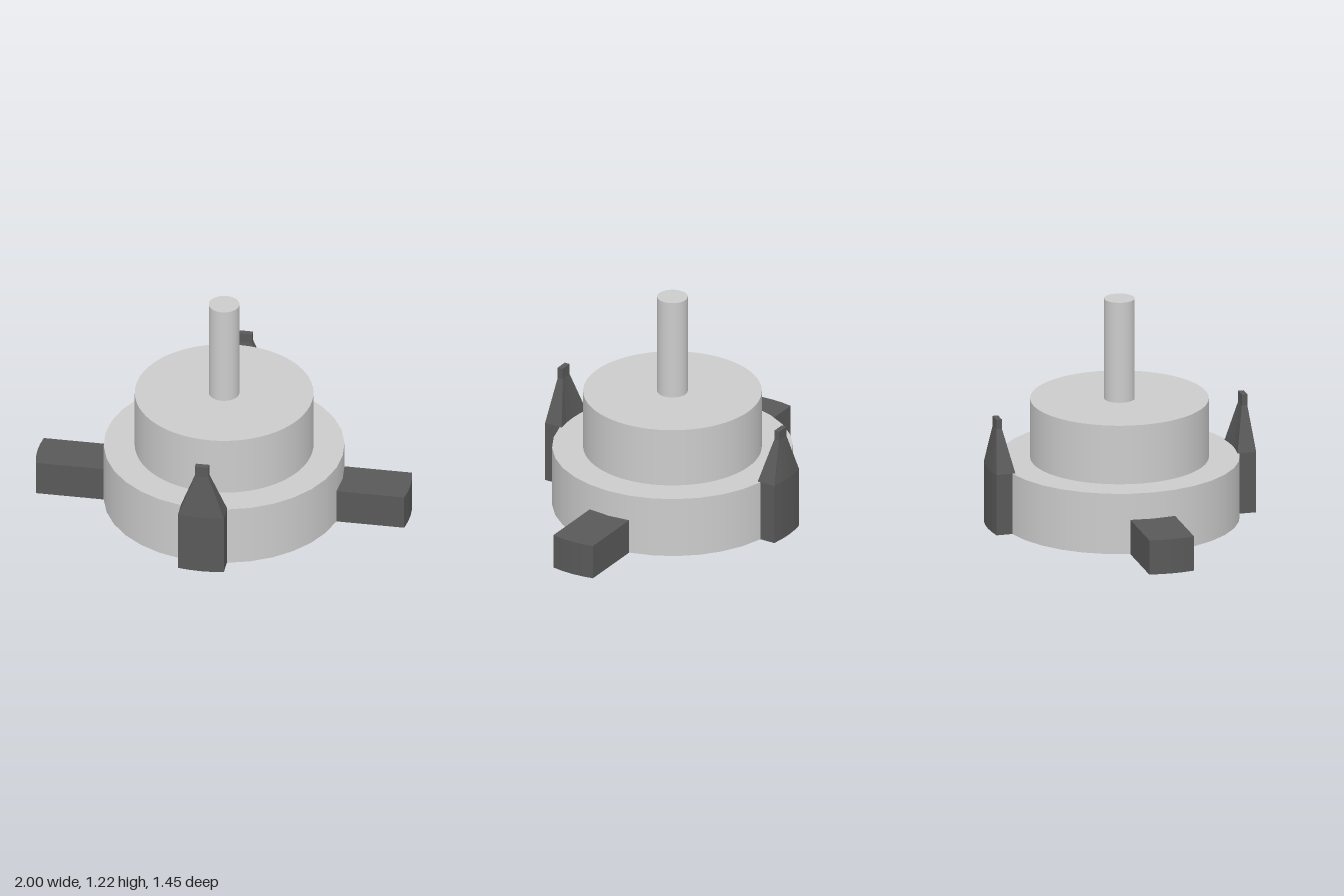
import * as THREE from 'three';

const light = new THREE.MeshStandardMaterial({ color: 0xcccccc });
const dark = new THREE.MeshStandardMaterial({ color: 0x595959, flatShading: true });

// Loft of stacked sections facing +z: [y, halfWidth, zInner, zOuter, bulge].
// Each section is a strip whose inner and outer edges bow outward by `bulge`.
function bowedLoft(levels, cols = 4) {
  const pos = [], idx = [];
  const n = 2 * (cols + 1);
  for (const [y, w, zin, zout, bulge] of levels) {
    for (let i = 0; i <= cols; i++) {
      const t = -1 + (2 * i) / cols;
      pos.push(t * w, y, zout - bulge * t * t);
    }
    for (let i = cols; i >= 0; i--) {
      const t = -1 + (2 * i) / cols;
      pos.push(t * w, y, zin - bulge * t * t);
    }
  }
  // Side walls
  for (let l = 0; l < levels.length - 1; l++) {
    for (let i = 0; i < n; i++) {
      const a = l * n + i, b = l * n + ((i + 1) % n);
      idx.push(a, b, b + n, a, b + n, a + n);
    }
  }
  // Bottom and top caps
  const top = (levels.length - 1) * n;
  for (let i = 0; i < cols; i++) {
    const j = n - 1 - i;
    idx.push(i, j, j - 1, i, j - 1, i + 1);
    idx.push(top + i, top + i + 1, top + j - 1, top + i, top + j - 1, top + j);
  }
  const g = new THREE.BufferGeometry();
  g.setAttribute('position', new THREE.Float32BufferAttribute(pos, 3));
  g.setIndex(idx);
  const flat = g.toNonIndexed();
  flat.computeVertexNormals();
  return flat;
}

function createModel() {
  const model = new THREE.Group();
  model.name = 'steppedHub';

  const addDrum = (name, radius, y0, y1, sides) => {
    const mesh = new THREE.Mesh(new THREE.CylinderGeometry(radius, radius, y1 - y0, sides), light);
    mesh.position.set(0, (y0 + y1) / 2, -0.003);
    mesh.name = name;
    model.add(mesh);
  };
  addDrum('baseDrum', 0.636, 0, 0.335, 32);
  addDrum('upperDrum', 0.472, 0.335, 0.66, 64);
  addDrum('shaft', 0.081, 0.66, 1.215, 32);

  const addDark = (name, geometry, angle) => {
    const mesh = new THREE.Mesh(geometry, dark);
    mesh.rotation.y = angle;
    mesh.name = name;
    model.add(mesh);
  };

  // Side arms with a bowed outer end
  const arm = bowedLoft([[0, 0.123, 0.6, 1, 0.013], [0.19, 0.123, 0.6, 1, 0.013]]);
  addDark('leftArm', arm, Math.PI / 2);
  addDark('rightArm', arm, -Math.PI / 2);

  // Upright prongs: broad foot, tapering shoulders, narrow tip
  const prong = (shoulder, tip) => bowedLoft([
    [0, 0.123, 0.622, 0.725, 0.012],
    [0.335, 0.123, 0.622, 0.725, 0.012],
    [shoulder, 0.036, 0.66, 0.69, 0.001],
    [tip, 0.036, 0.66, 0.69, 0.001],
  ]);
  addDark('frontProng', prong(0.57, 0.63), 0);
  addDark('backProng', prong(0.56, 0.612), Math.PI);

  return model;
}

export { createModel };
